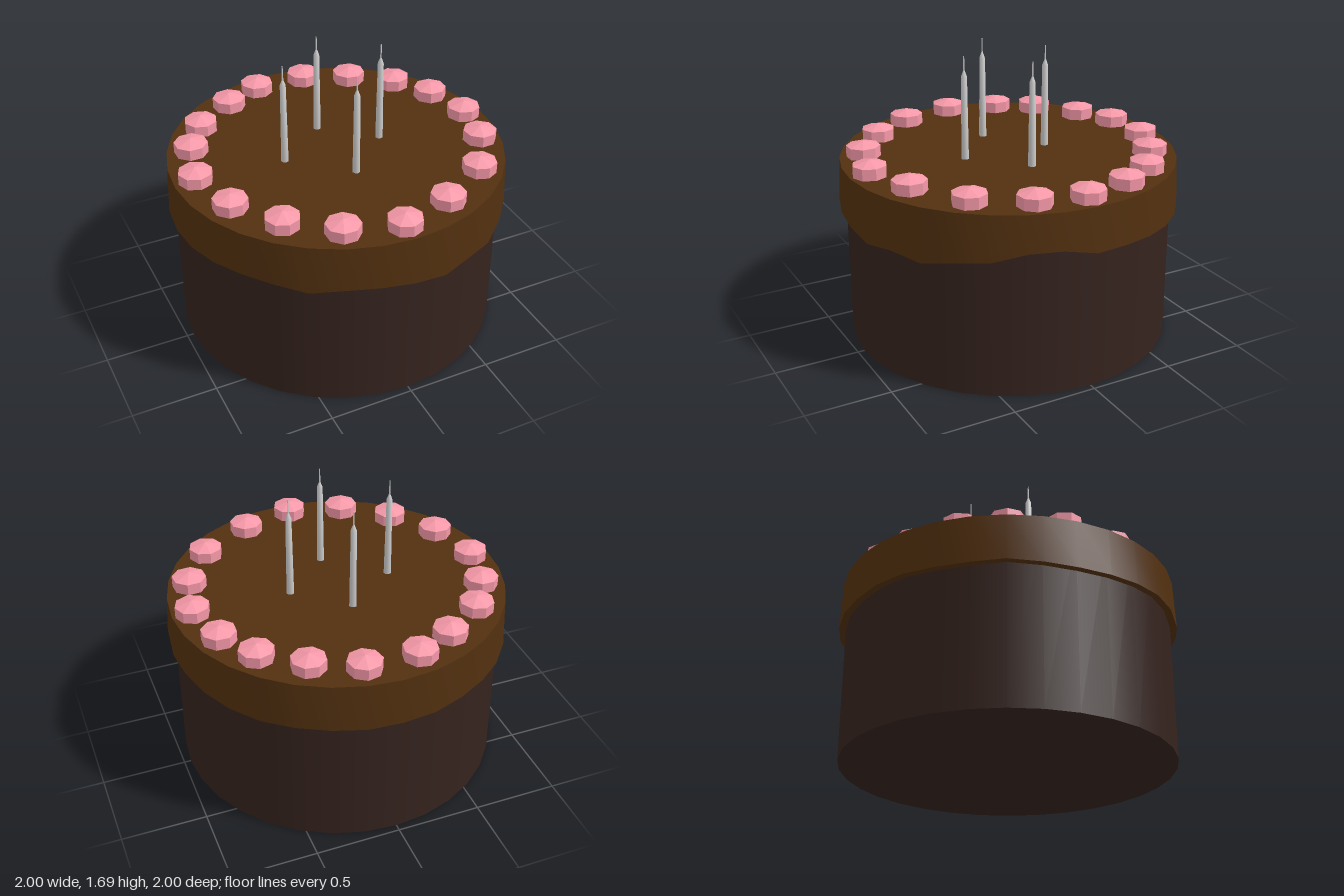
import * as THREE from 'three';
import { toCreasedNormals } from 'three/addons/utils/BufferGeometryUtils.js';

const SIDES = 32;
const TOP = 1.08;

const lathe = (points, sides) =>
  new THREE.LatheGeometry(points.map(([r, y]) => new THREE.Vector2(r, y)), sides);

function addMesh(parent, name, geometry, material) {
  const mesh = new THREE.Mesh(geometry, material);
  mesh.name = name;
  parent.add(mesh);
  return mesh;
}

// Icing cap whose lower rim rises and falls around the cake, from +z towards +x
function icingGeometry() {
  const rim = [
    0.79, 0.765, 0.79, 0.765, 0.80, 0.815, 0.865, 0.865,
    0.82, 0.82, 0.81, 0.80, 0.795, 0.80, 0.80, 0.795,
    0.80, 0.80, 0.81, 0.81, 0.80, 0.80, 0.81, 0.80,
    0.795, 0.80, 0.81, 0.82, 0.815, 0.79, 0.815, 0.81,
  ];
  const profile = [[0.95, 0.8], [1, 0.8], [0.988, TOP], [0, TOP]];
  const geometry = lathe(profile, SIDES);
  const pos = geometry.attributes.position;
  for (let i = 0; i <= SIDES; i++) {
    for (let k = 0; k < 2; k++) pos.setY(i * profile.length + k, rim[i % SIDES]);
  }
  return toCreasedNormals(geometry, 0.7);
}

export function createModel() {
  const cake = new THREE.Group();
  cake.name = 'cake';

  const sponge = new THREE.MeshStandardMaterial({ color: 0x35231e });
  const chocolate = new THREE.MeshStandardMaterial({ color: 0x52300f });
  const pink = new THREE.MeshStandardMaterial({ color: 0xf598a8, flatShading: true });
  const wax = new THREE.MeshStandardMaterial({ color: 0xcccccc });

  // Body and icing
  addMesh(cake, 'spongeBody', new THREE.CylinderGeometry(0.96, 0.96, 1, SIDES).translate(0, 0.5, 0), sponge);
  addMesh(cake, 'icing', icingGeometry(), chocolate);

  // Ring of eight-sided cream dollops
  const dollops = new THREE.Group();
  dollops.name = 'creamDollops';
  cake.add(dollops);
  const dollopGeometry = lathe([[0, 0], [0.1, 0], [0.1, 0.067], [0, 0.095]], 8);
  const spots = [
    [-0.16, -0.83], [0.16, -0.83], [0.43, -0.71], [0.66, -0.53], [0.80, -0.30], [0.87, -0.01],
    [0.81, 0.28], [0.63, 0.57], [0.31, 0.77], [-0.01, 0.87], [-0.33, 0.78], [-0.59, 0.58],
    [-0.78, 0.31], [-0.86, -0.02], [-0.78, -0.32], [-0.64, -0.54], [-0.39, -0.72],
  ];
  for (const [x, z] of spots) {
    const dollop = addMesh(dollops, 'creamDollop', dollopGeometry, pink);
    dollop.position.set(x, TOP, z);
    dollop.rotation.y = Math.atan2(x, z);
  }

  // Candles: tapered stick, pointed shoulder and thin wick
  const stickGeometry = toCreasedNormals(
    lathe([[0, 0], [0.023, 0], [0.018, 0.49], [0.005, 0.525]], 8), 0.9);
  const wickGeometry = new THREE.CylinderGeometry(0.003, 0.005, 0.1, 6).translate(0, 0.56, 0);
  for (const [x, z] of [[-0.325, 0], [0.285, 0], [-0.005, -0.25], [-0.005, 0.28]]) {
    const candle = new THREE.Group();
    candle.name = 'candle';
    candle.position.set(x, TOP, z);
    addMesh(candle, 'candleStick', stickGeometry, wax);
    addMesh(candle, 'wick', wickGeometry, wax);
    cake.add(candle);
  }

  return cake;
}
